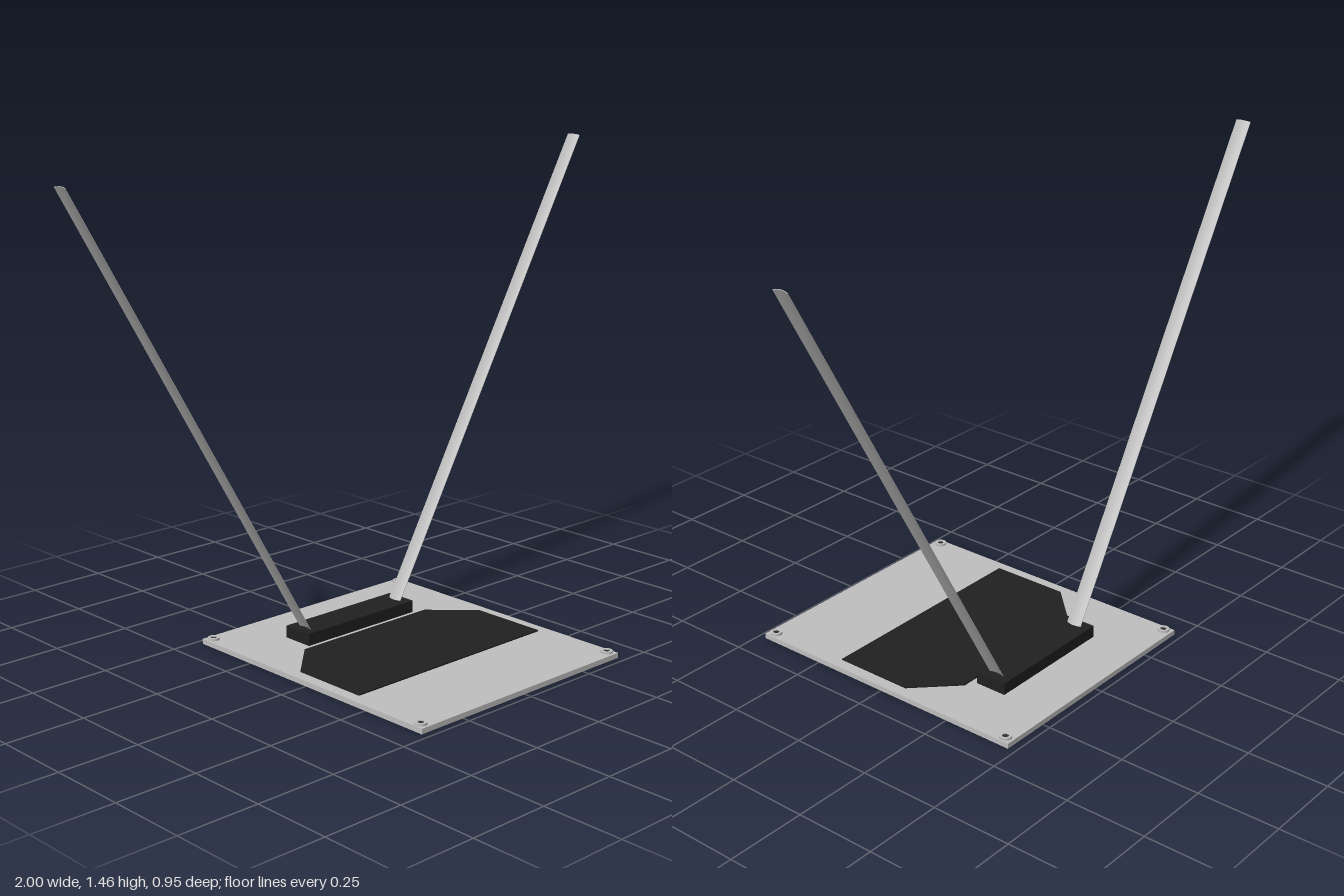
import * as THREE from 'three';

const mat = (name, color, extra = {}) => {
  const m = new THREE.MeshStandardMaterial({ color, ...extra });
  m.name = name;
  return m;
};

export function createModel() {
  const model = new THREE.Group();
  const plateGrey = mat('plate grey', 0xc0c0c0);
  const steel = mat('strip steel', 0xbcbcbc);
  const black = mat('black plastic', 0x202020);
  const dark = mat('socket dark', 0x303030);

  const add = (name, geometry, material, x, y, z, parent = model) => {
    const mesh = new THREE.Mesh(geometry, material);
    mesh.name = name;
    mesh.position.set(x, y, z);
    parent.add(mesh);
    return mesh;
  };

  const plateTop = 0.016;

  // Base plate
  add('basePlate', new THREE.BoxGeometry(0.818, plateTop, 0.952), plateGrey, 0, plateTop / 2, 0);

  // Thin pad with its two back corners cut off (shape y becomes -z)
  const padShape = new THREE.Shape([
    [-0.373, -0.187], [0.373, -0.187], [0.373, 0.064],
    [0.25, 0.187], [-0.25, 0.187], [-0.373, 0.064],
  ].map(([x, y]) => new THREE.Vector2(x, y)));
  const padGeometry = new THREE.ExtrudeGeometry(padShape, { depth: 0.004, bevelEnabled: false });
  padGeometry.rotateX(-Math.PI / 2);
  add('pad', padGeometry, black, 0, plateTop, 0);

  // Block that holds the two strips
  add('holderBlock', new THREE.BoxGeometry(0.434, 0.038, 0.103), black, 0, plateTop + 0.019, -0.257);

  // Corner screws: a ring head around a dark hexagonal socket
  const ringShape = new THREE.Shape().absarc(0, 0, 0.018, 0, Math.PI * 2);
  ringShape.holes.push(new THREE.Path().absarc(0, 0, 0.01, 0, Math.PI * 2, true));
  const ringGeometry = new THREE.ExtrudeGeometry(ringShape, { depth: 0.007, bevelEnabled: false, curveSegments: 12 });
  ringGeometry.rotateX(-Math.PI / 2);
  const socketGeometry = new THREE.CylinderGeometry(0.011, 0.011, 0.004, 6);
  for (const x of [-0.387, 0.387]) {
    for (const z of [-0.45, 0.45]) {
      const screw = new THREE.Group();
      screw.name = 'screw';
      screw.position.set(x, plateTop, z);
      add('screwHead', ringGeometry, plateGrey, 0, 0, 0, screw);
      add('screwSocket', socketGeometry, dark, 0, 0.002, 0, screw);
      model.add(screw);
    }
  }

  // Two curved steel strips, leaning outwards at 60 degrees
  const stripLength = 1.633;
  const halfWidth = 0.025;
  const sag = 0.005;
  const thickness = 0.002;
  const arc = (offset) => Array.from({ length: 9 }, (_, i) => {
    const t = i / 4 - 1;
    return new THREE.Vector2(offset - sag * (1 - t * t), t * halfWidth);
  });
  const section = new THREE.Shape([...arc(thickness), ...arc(0).reverse()]);
  for (const side of [1, -1]) {
    const geometry = new THREE.ExtrudeGeometry(section, { depth: stripLength, bevelEnabled: false });
    geometry.rotateX(-Math.PI / 2); // length runs up, width along z
    if (side < 0) geometry.rotateY(Math.PI); // the bulge always faces inwards
    const strip = add(side > 0 ? 'leftStrip' : 'rightStrip', geometry, steel, side * 0.181, 0.045, -0.256);
    strip.rotation.z = -side * Math.PI / 6;
  }

  return model;
}
